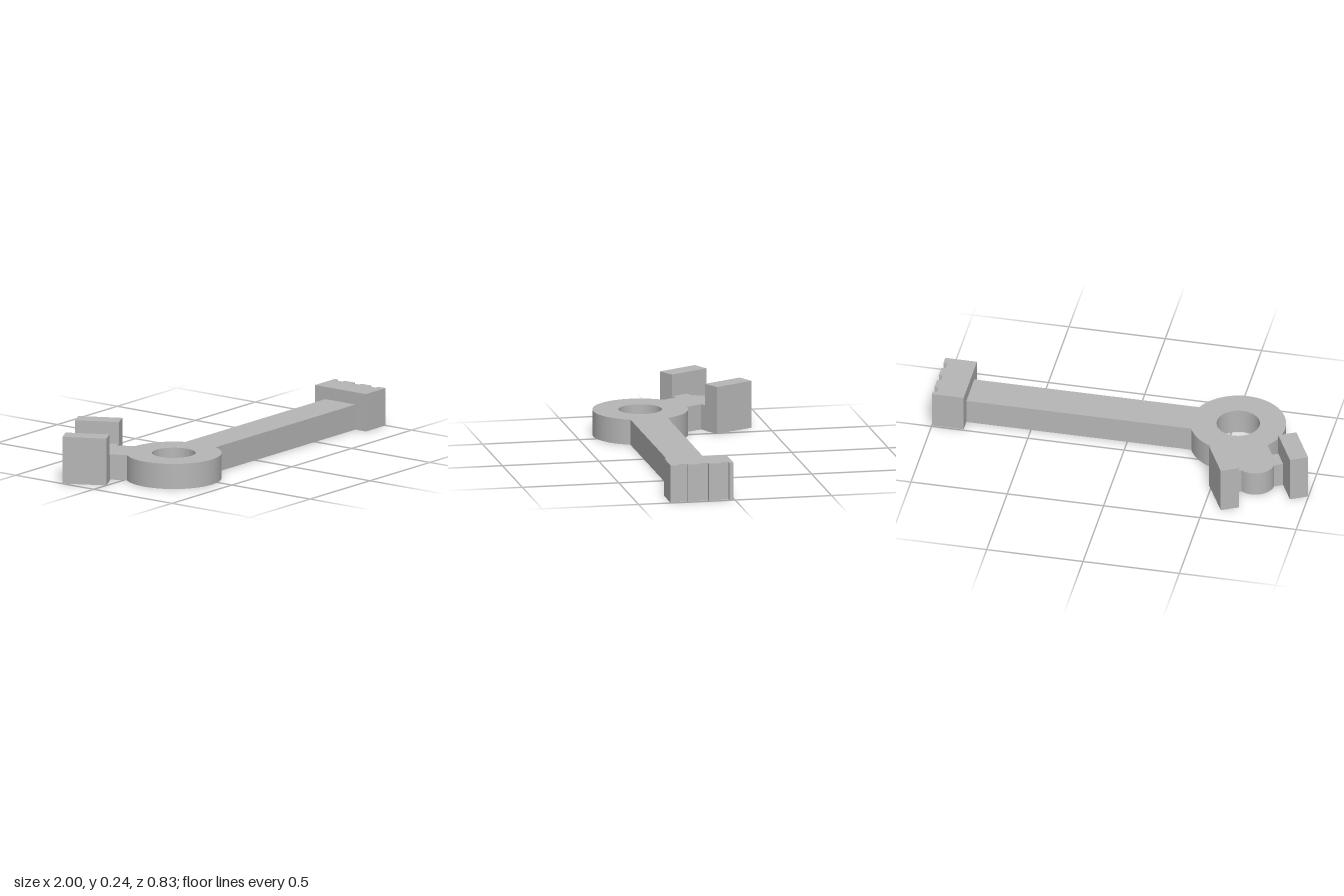
import * as THREE from 'three';
import { toCreasedNormals } from 'three/addons/utils/BufferGeometryUtils.js';

const RING = { x: -0.556, z: 0.171, outer: 0.243, inner: 0.11 };
const ARM_HALF = 0.0965, HEAD_X = 0.835, THICK = 0.131;
const PHI = THREE.MathUtils.degToRad(117.3); // direction of the fork neck in plan

// Point in the ring's plan: a along the fork neck, s to its right
const forkPoint = (a, s) => new THREE.Vector2(
  a * Math.cos(PHI) + s * Math.sin(PHI),
  a * Math.sin(PHI) - s * Math.cos(PHI));

const polygon = (points) => new THREE.Shape(points.map(([x, y]) => new THREE.Vector2(x, y)));

export function createModel() {
  const group = new THREE.Group();
  const grey = new THREE.MeshStandardMaterial({ color: 0xb6b6b6 });
  grey.name = 'plain grey';

  // Raise a plan shape (plan y points to the back) to the given height
  const addPart = (name, shape, height) => {
    const geo = new THREE.ExtrudeGeometry(shape, { depth: height, bevelEnabled: false, curveSegments: 48 });
    geo.rotateX(-Math.PI / 2);
    const mesh = new THREE.Mesh(toCreasedNormals(geo, 0.4), grey);
    mesh.name = name;
    mesh.position.set(RING.x, 0, RING.z);
    group.add(mesh);
  };

  // Flat body: long arm, ring, fork neck with cross bar and rounded lobe
  const armEnd = HEAD_X - RING.x;
  const armAngle = Math.asin(ARM_HALF / RING.outer);
  const neckRight = 0.107, neckLeft = -0.093, barNear = 0.311, barFar = 0.404;
  const lobeA = 0.355, lobeS = 0.007, lobeR = 0.098;
  const lobeAngle = Math.acos((barFar - lobeA) / lobeR);
  const ringAngle = (s) => PHI - Math.asin(s / RING.outer);
  const body = new THREE.Shape();
  const lineTo = (a, s) => { const p = forkPoint(a, s); body.lineTo(p.x, p.y); };

  body.moveTo(armEnd, -ARM_HALF);
  body.lineTo(armEnd, ARM_HALF);
  body.absarc(0, 0, RING.outer, armAngle, ringAngle(neckRight), false);
  lineTo(barNear, neckRight);
  lineTo(barNear, 0.142);
  lineTo(barFar, 0.142);
  const lobe = forkPoint(lobeA, lobeS);
  body.absarc(lobe.x, lobe.y, lobeR, PHI - lobeAngle, PHI + lobeAngle, false);
  lineTo(barFar, -0.126);
  lineTo(barNear, -0.126);
  lineTo(barNear, neckLeft);
  body.absarc(0, 0, RING.outer, ringAngle(neckLeft), 2 * Math.PI - armAngle, false);
  const hole = new THREE.Path();
  hole.absarc(0, 0, RING.inner, 0, 2 * Math.PI, true);
  body.holes.push(hole);
  addPart('body', body, THICK);

  // Two upright fork plates
  for (const [name, s0, s1] of [['leftProng', 0.142, 0.238], ['rightProng', -0.222, -0.126]]) {
    const corners = [[0.308, s0], [0.308, s1], [0.535, s1], [0.535, s0]];
    addPart(name, new THREE.Shape(corners.map(([a, s]) => forkPoint(a, s))), 0.244);
  }

  // Head block with three vertical grooves in its end
  const x0 = armEnd, x1 = 1 - RING.x, half = 0.163, depth = 0.021, grooveHalf = 0.021;
  const outline = [[x0, -half], [x1, -half]];
  for (const y of [-0.0935, 0.0135, 0.12]) {
    outline.push([x1, y - grooveHalf], [x1 - depth, y - grooveHalf],
      [x1 - depth, y + grooveHalf], [x1, y + grooveHalf]);
  }
  outline.push([x1, half], [x0, half]);
  addPart('groovedHead', polygon(outline), 0.195);

  return group;
}
